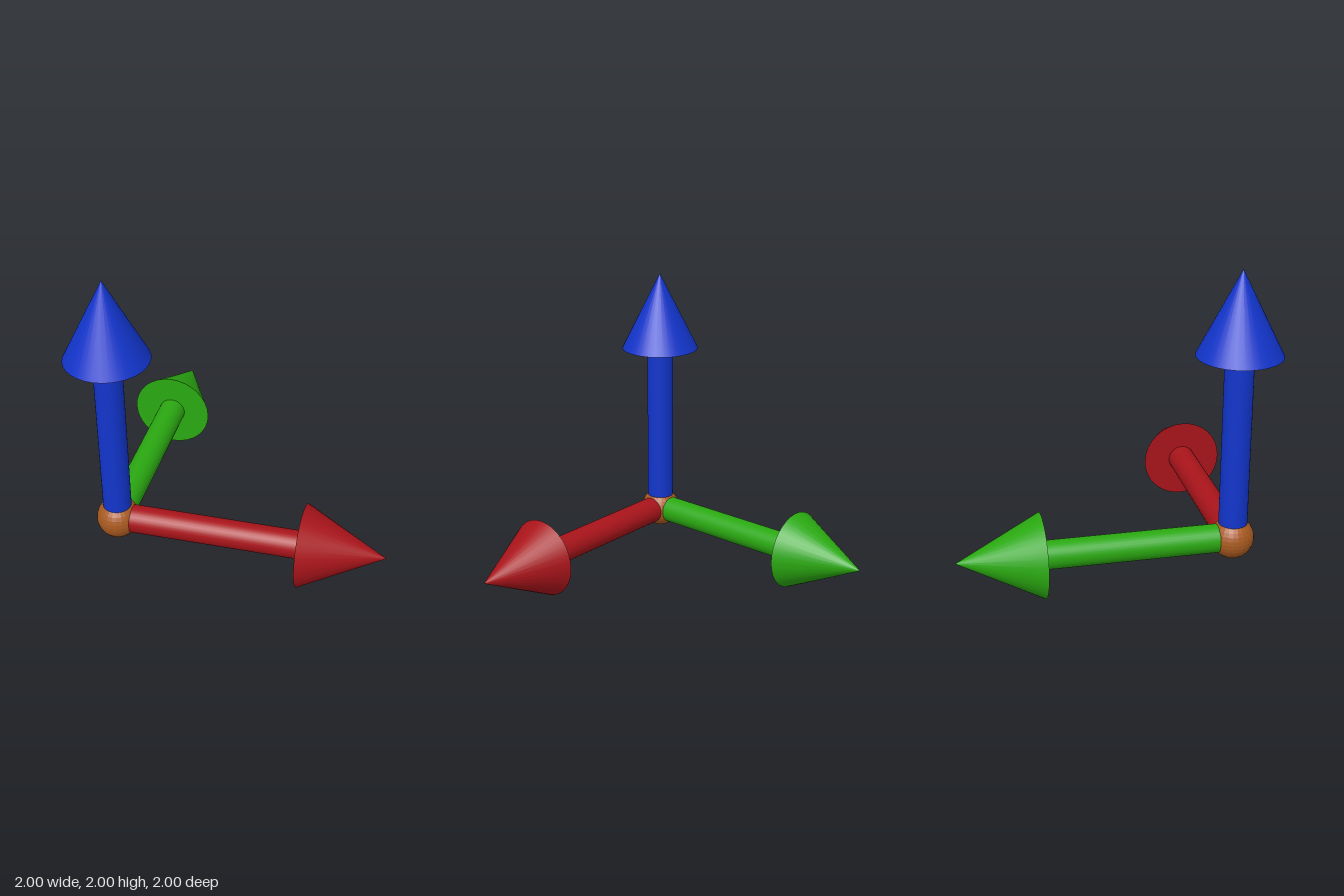
import * as THREE from 'three';

const HUB_RADIUS = 0.135;
const SHAFT_RADIUS = 0.09;
const SHAFT_LENGTH = 1.205;
const HEAD_RADIUS = 0.265;
const HEAD_LENGTH = 0.53;

// One arrow pointing up +y from its own origin
function createArrow(name, color) {
  const material = new THREE.MeshStandardMaterial({ color });
  const arrow = new THREE.Group();
  arrow.name = name;

  const shaft = new THREE.Mesh(
    new THREE.CylinderGeometry(SHAFT_RADIUS, SHAFT_RADIUS, SHAFT_LENGTH, 32), material);
  shaft.name = name + 'Shaft';
  shaft.position.y = SHAFT_LENGTH / 2;

  const head = new THREE.Mesh(new THREE.ConeGeometry(HEAD_RADIUS, HEAD_LENGTH, 32), material);
  head.name = name + 'Head';
  head.position.y = SHAFT_LENGTH + HEAD_LENGTH / 2;

  arrow.add(shaft, head);
  return arrow;
}

export function createModel() {
  const model = new THREE.Group();
  model.name = 'axisArrows';

  // Ball where the three arrows meet
  const hub = new THREE.Mesh(
    new THREE.SphereGeometry(HUB_RADIUS, 24, 16),
    new THREE.MeshStandardMaterial({ color: 0xa85a20, flatShading: true }));
  hub.name = 'hub';

  // Arrows up, to the left (+x) and to the back (-z)
  const upArrow = createArrow('upArrow', 0x1235cc);
  const sideArrow = createArrow('sideArrow', 0xa8141a);
  sideArrow.rotation.z = -Math.PI / 2;
  const backArrow = createArrow('backArrow', 0x2aa811);
  backArrow.rotation.x = -Math.PI / 2;

  model.add(hub, upArrow, sideArrow, backArrow);
  for (const part of model.children) part.position.set(-0.735, 0.265, 0.735);
  return model;
}
